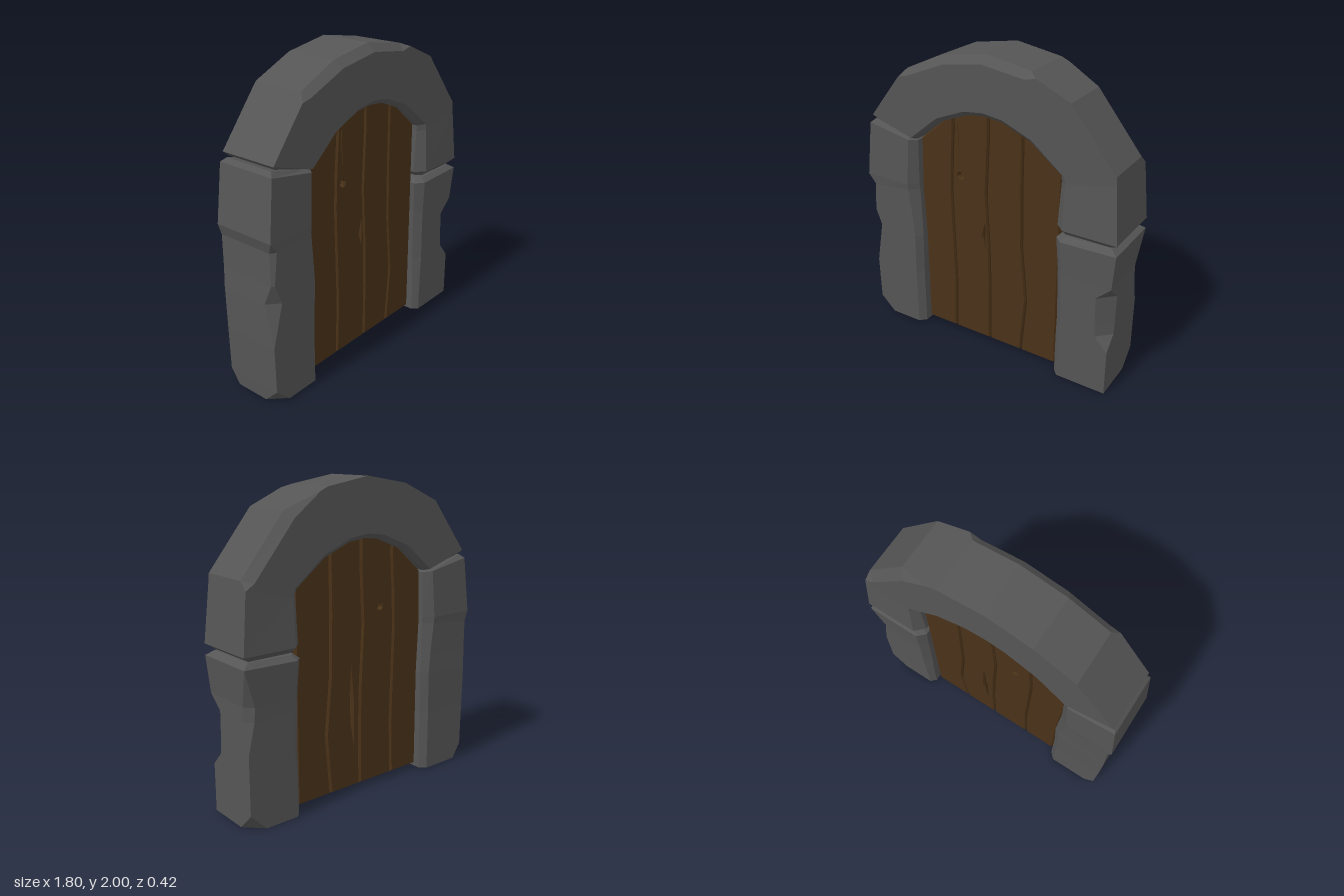
import * as THREE from 'three';

const stoneMat = new THREE.MeshStandardMaterial({ color: 0x555555, flatShading: true });
const woodMat = new THREE.MeshStandardMaterial({ color: 0x4a3218, flatShading: true });

// Eight-sided cross-section of a stone block.
// Station: outer x, y, inner x, y, half depth, then chamfers: inner, outer front, outer back
function ring([ox, oy, ix, iy, h, ci, of = 0, ob = 0]) {
  const len = Math.hypot(ox - ix, oy - iy);
  const dx = (ox - ix) / len, dy = (oy - iy) / len;
  const at = (t, z) => new THREE.Vector3(ix + dx * t, iy + dy * t, z);
  return [
    at(ci, h), at(0, h - ci), at(0, ci - h), at(ci, -h),
    at(len - ob, -h), at(len, ob - h), at(len, h - of), at(len - of, h),
  ];
}

// Skin the cross-sections and cap both ends
function stone(name, stations) {
  const rings = stations.map(ring), pos = [];
  const tri = (a, b, c) => {
    const area = b.clone().sub(a).cross(c.clone().sub(a)).length();
    if (area > 1e-7) pos.push(...a.toArray(), ...b.toArray(), ...c.toArray());
  };
  for (let i = 0; i < rings.length - 1; i++) {
    const a = rings[i], b = rings[i + 1];
    for (let j = 0; j < 8; j++) {
      const k = (j + 1) % 8;
      tri(a[j], a[k], b[k]);
      tri(a[j], b[k], b[j]);
    }
  }
  const first = rings[0], last = rings[rings.length - 1];
  for (let j = 1; j < 7; j++) {
    tri(first[0], first[j + 1], first[j]);
    tri(last[0], last[j], last[j + 1]);
  }
  const geo = new THREE.BufferGeometry();
  geo.setAttribute('position', new THREE.Float32BufferAttribute(pos, 3));
  geo.computeVertexNormals();
  const mesh = new THREE.Mesh(geo, stoneMat);
  mesh.name = name;
  return mesh;
}

// Curved top edge of the door
const topPoints = [[-0.52, 1.37], [-0.31, 1.55], [-0.13, 1.625], [0, 1.64], [0.13, 1.625], [0.31, 1.55], [0.52, 1.37]];
function topY(x) {
  const i = Math.max(1, topPoints.findIndex((p) => p[0] >= x));
  const [x0, y0] = topPoints[i - 1], [x1, y1] = topPoints[i];
  return y0 + (y1 - y0) * (x - x0) / (x1 - x0);
}

// Wavy lines between the planks, from the bottom up; the last point meets the top edge
const BOTTOM = 0.03;
const lines = [
  [[-0.505, BOTTOM], [-0.505, 0.7], [-0.52, 1.05], [-0.51, 1.3]],
  [[-0.275, BOTTOM], [-0.262, 0.4], [-0.28, 1.05], [-0.27, 1.3], [-0.255, 1.5]],
  [[0, BOTTOM], [0.005, 0.4], [0, 0.7], [-0.02, 1.1], [0, 1.5]],
  [[0.24, BOTTOM], [0.275, 0.42], [0.24, 0.8], [0.235, 1.2], [0.238, 1.5]],
  [[0.5, BOTTOM], [0.5, 0.7], [0.5, 1.3]],
];

function boardOutline(left, right, gap) {
  const a = left.map(([x, y]) => [x + gap, y]);
  const b = right.map(([x, y]) => [x - gap, y]);
  const ax = a[a.length - 1][0], bx = b[b.length - 1][0];
  const top = topPoints.filter(([x]) => x > ax + 0.03 && x < bx - 0.03);
  const pts = [...a, [ax, topY(ax)], ...top, [bx, topY(bx)], ...b.reverse()];
  return new THREE.Shape(pts.map((p) => new THREE.Vector2(...p)));
}

function hole(points) {
  return new THREE.Path(points.map((p) => new THREE.Vector2(...p)));
}

function knot(x, y) {
  return hole(Array.from({ length: 6 }, (_, i) => {
    const t = i * Math.PI / 3 + 0.3;
    return [x + 0.02 * Math.cos(t), y + 0.02 * Math.sin(t)];
  }));
}

// Knot hole and cracks, by side and plank number
const flaws = {
  front: {
    1: [knot(-0.21, 1.19), hole([[-0.225, 1.53], [-0.218, 1.53], [-0.212, 1.25]]),
      hole([[-0.03, 0.9], [-0.05, 0.8], [-0.03, 0.72]])],
    2: [hole([[0.183, 1.54], [0.2, 1.54], [0.19, 1.38]])],
  },
  back: {
    1: [knot(-0.16, 1.19)],
    2: [hole([[0.075, 0.85], [0.06, 0.62], [0.05, 0.3], [0.085, 0.55]])],
  },
};

function createDoor() {
  const door = new THREE.Group();
  door.name = 'door';

  // Solid core seen at the bottom of the grooves
  const coreGeo = new THREE.ExtrudeGeometry(boardOutline(lines[0], lines[4], 0.003), { depth: 0.2, bevelEnabled: false });
  coreGeo.translate(0, 0, -0.1);
  const core = new THREE.Mesh(coreGeo, woodMat);
  core.name = 'doorCore';
  door.add(core);

  // Bevelled planks on both sides
  for (const side of ['front', 'back']) {
    for (let i = 0; i < 4; i++) {
      const shape = boardOutline(lines[i], lines[i + 1], 0.004);
      shape.holes = flaws[side][i] ?? [];
      const geo = new THREE.ExtrudeGeometry(shape, {
        depth: 0.02, bevelThickness: 0.012, bevelSize: 0.008, bevelOffset: -0.008, bevelSegments: 1,
      });
      geo.translate(0, 0, side === 'front' ? 0.098 : -0.118);
      const plank = new THREE.Mesh(geo, woodMat);
      plank.name = side + 'Plank' + (i + 1);
      door.add(plank);
    }
  }
  return door;
}

export function createModel() {
  const model = new THREE.Group();
  model.name = 'archedDoorway';

  // Left pillar, from the ground up
  model.add(stone('leftPillar', [
    [-0.88, 0, -0.515, 0, 0.195, 0.04, 0.1, 0.06],
    [-0.885, 0.1, -0.515, 0.1, 0.195, 0.04],
    [-0.89, 0.4, -0.515, 0.4, 0.195, 0.04],
    [-0.89, 0.67, -0.505, 0.69, 0.2, 0.04, 0.07],
    [-0.885, 0.8, -0.51, 0.82, 0.2, 0.045, 0.015],
    [-0.88, 1.0, -0.52, 1.03, 0.205, 0.055, 0.03],
    [-0.9, 1.07, -0.52, 1.07, 0.21, 0.055],
    [-0.86, 1.435, -0.513, 1.37, 0.2, 0.045],
    [-0.835, 1.46, -0.53, 1.385, 0.17, 0.035],
  ]));

  // Arch, from the left joint over the top to the right joint
  model.add(stone('arch', [
    [-0.815, 1.465, -0.53, 1.388, 0.175, 0.03],
    [-0.84, 1.49, -0.51, 1.385, 0.195, 0.03],
    [-0.61, 1.78, -0.335, 1.525, 0.195, 0.03],
    [-0.57, 1.83, -0.31, 1.543, 0.195, 0.03, 0.045],
    [-0.3, 1.95, -0.12, 1.62, 0.195, 0.03, 0.05],
    [0, 2, 0, 1.633, 0.195, 0.03, 0.05],
    [0.3, 1.95, 0.12, 1.62, 0.195, 0.03, 0.045],
    [0.35, 1.928, 0.15, 1.608, 0.195, 0.03],
    [0.57, 1.83, 0.31, 1.543, 0.195, 0.03, 0, 0.055],
    [0.86, 1.47, 0.508, 1.38, 0.195, 0.04, 0, 0.055],
    [0.865, 1.42, 0.51, 1.34, 0.195, 0.045],
    [0.9, 1.06, 0.493, 1.06, 0.21, 0.06],
    [0.85, 1.025, 0.53, 1.025, 0.175, 0.03],
  ]));

  // Right pillar, from its joint down to the ground
  model.add(stone('rightPillar', [
    [0.855, 1.02, 0.53, 1.01, 0.175, 0.03],
    [0.9, 0.99, 0.493, 0.98, 0.21, 0.05],
    [0.88, 0.76, 0.507, 0.76, 0.197, 0.045, 0, 0.05],
    [0.88, 0.67, 0.508, 0.67, 0.195, 0.045, 0.095, 0.045],
    [0.88, 0.48, 0.512, 0.48, 0.195, 0.045, 0.09],
    [0.88, 0.4, 0.513, 0.4, 0.195, 0.045, 0.085],
    [0.88, 0.31, 0.513, 0.31, 0.195, 0.04],
    [0.88, 0.11, 0.513, 0.11, 0.195, 0.035],
    [0.88, 0, 0.513, 0, 0.195, 0.035, 0, 0.11],
  ]));

  model.add(createDoor());
  return model;
}
